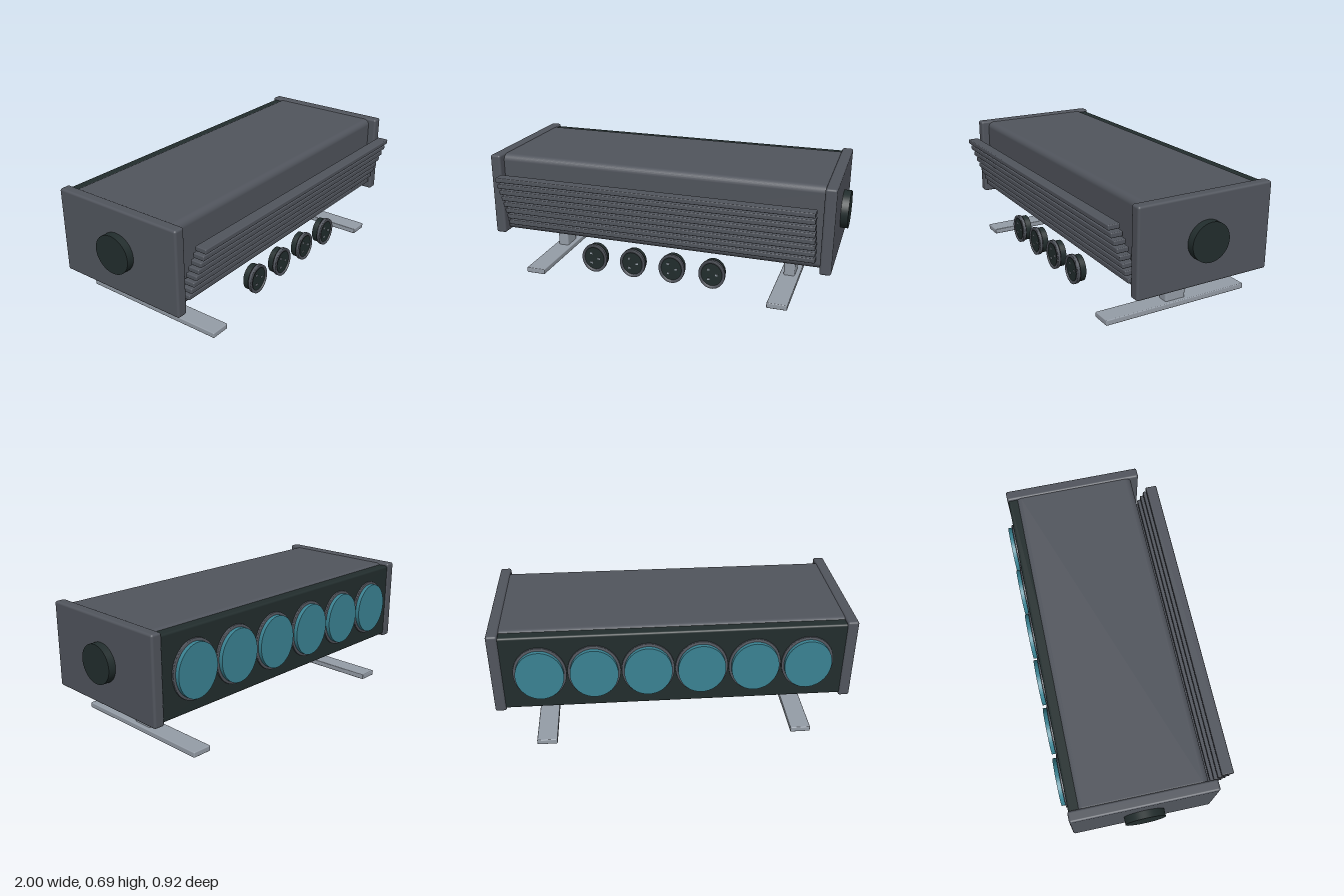
import * as THREE from 'three';
import { RoundedBoxGeometry } from 'three/addons/geometries/RoundedBoxGeometry.js';

const paint = (name, color) => {
  const m = new THREE.MeshStandardMaterial({ color });
  m.name = name;
  return m;
};

export function createModel() {
  const grey = paint('casing grey', 0x51555d);
  const dark = paint('dark green black', 0x222d2d);
  const silver = paint('light metal', 0x959da7);
  const teal = paint('lens teal', 0x3a8292);

  const model = new THREE.Group();
  model.name = 'lightBar';

  const add = (name, geometry, material, x, y, z, parent = model) => {
    const mesh = new THREE.Mesh(geometry, material);
    mesh.name = name;
    mesh.position.set(x, y, z);
    parent.add(mesh);
    return mesh;
  };
  const box = (w, h, d, r) => new RoundedBoxGeometry(w, h, d, 3, r);
  // Elliptical disc facing along z
  const disc = (rx, ry, depth) =>
    new THREE.CylinderGeometry(1, 1, depth, 48).rotateX(Math.PI / 2).scale(rx, ry, 1);
  // Elliptical rounded ring facing along z, with ry as its outer height
  const ring = (rx, ry, inner, depth) => {
    const h = depth / 2, b = depth * 0.25;
    const profile = [[inner, -h], [1 - b, -h], [1, -h + b], [1, h - b], [1 - b, h], [inner, h], [inner, -h]]
      .map(([r, y]) => new THREE.Vector2(r, y));
    const g = new THREE.LatheGeometry(profile, 48).rotateX(Math.PI / 2).scale(rx, ry, 1);
    const flat = g.toNonIndexed();
    return flat;
  };

  // Casing and recessed back panel
  add('casing', box(1.86, 0.45, 0.68, 0.035), grey, 0, 0.46, -0.03);
  add('backPanel', box(1.82, 0.436, 0.12, 0.012), dark, 0, 0.458, -0.352);

  for (const s of [-1, 1]) {
    // End plates with side hubs
    add('endPlate', box(0.06, 0.464, 0.772, 0.012), grey, s * 0.93, 0.458, -0.031);
    const hub = new THREE.CylinderGeometry(1, 1, 0.06, 48).rotateZ(Math.PI / 2).scale(1, 0.103, 0.108);
    add('sideHub', hub, dark, s * 0.97, 0.458, -0.03);

    // Legs and feet
    add('legPost', box(0.063, 0.25, 0.122, 0.012), silver, s * 0.7, 0.128, -0.03);
    add('foot', box(0.11, 0.03, 0.852, 0.005), silver, s * 0.7, 0.031, -0.03);
  }

  // Stepped front louvres
  for (let i = 0; i < 8; i++) {
    add('louvre', box(1.75, 0.026, 0.064, 0.005), grey, 0, 0.583 - i * 0.041, 0.428 - i * 0.0157);
  }

  // Row of rear lenses with rims
  for (let i = 0; i < 6; i++) {
    const x = (i - 2.5) * 0.282;
    add('lensRim', ring(0.139, 0.157, 0.88, 0.02), grey, x, 0.458, -0.413);
    add('lens', disc(0.126, 0.143, 0.045), teal, x, 0.458, -0.4225);
  }

  // Front sockets with three pins each
  for (let i = 0; i < 4; i++) {
    const socket = new THREE.Group();
    socket.name = 'socket';
    socket.position.set((i - 1.5) * 0.226, 0.15, 0);
    model.add(socket);
    add('socketBody', disc(0.065, 0.074, 0.046), dark, 0, 0, 0.336, socket);
    add('socketRim', ring(0.073, 0.082, 0.8, 0.02), grey, 0, 0, 0.36, socket);
    add('socketFace', disc(0.06, 0.067, 0.01), dark, 0, 0, 0.361, socket);
    for (const [x, y] of [[-0.018, 0.028], [-0.018, -0.028], [0.027, 0]]) {
      add('pin', new THREE.BoxGeometry(0.014, 0.009, 0.006), silver, x, y, 0.367, socket);
    }
  }
  return model;
}
